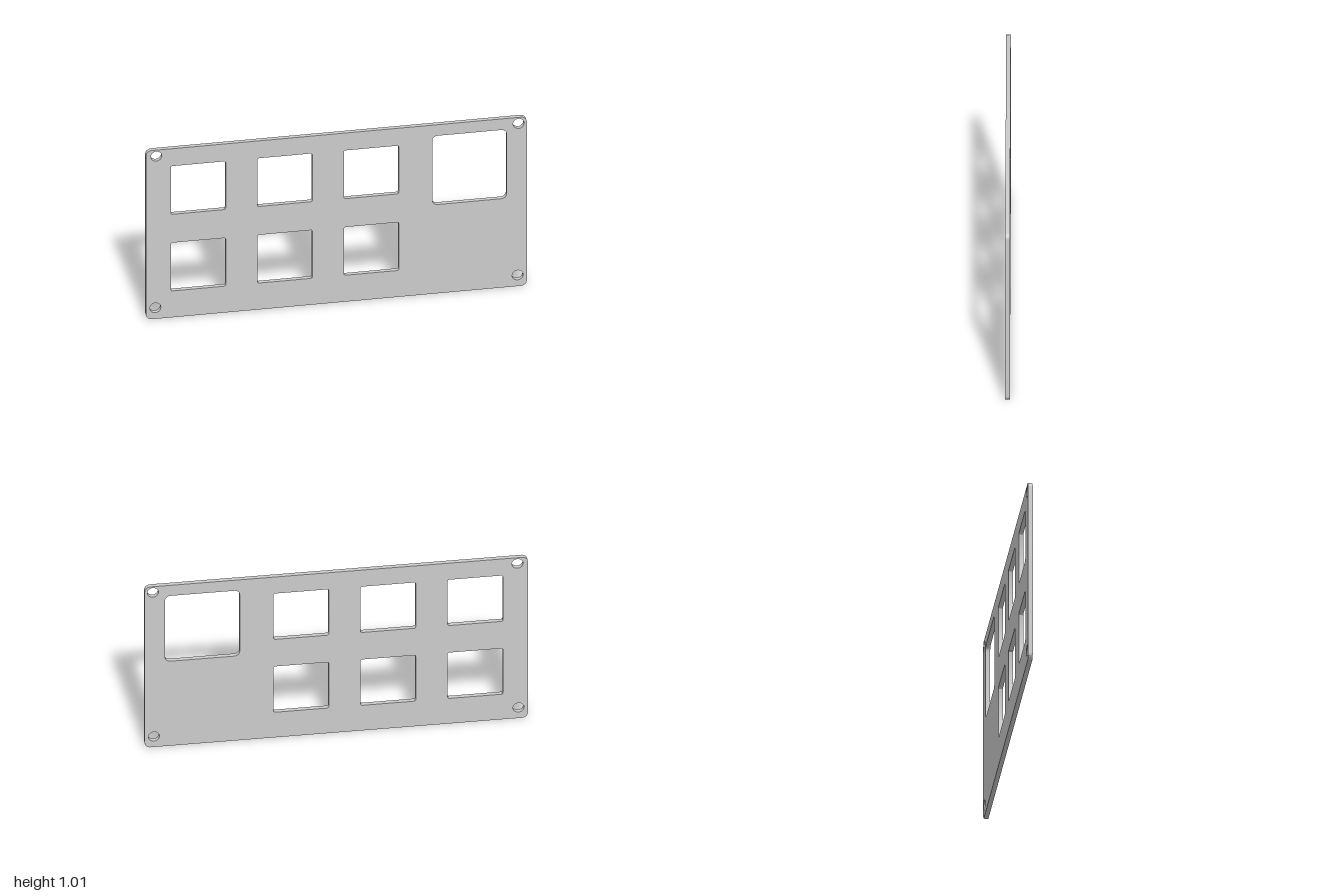
import * as THREE from 'three';
import { toCreasedNormals } from 'three/addons/utils/BufferGeometryUtils.js';

const THICKNESS = 0.024;

// Trace a rounded rectangle given its lower left corner, size and corner radius
function roundedRect(path, x, y, w, h, r) {
  path.moveTo(x + r, y);
  path.lineTo(x + w - r, y);
  path.absarc(x + w - r, y + r, r, -Math.PI / 2, 0, false);
  path.lineTo(x + w, y + h - r);
  path.absarc(x + w - r, y + h - r, r, 0, Math.PI / 2, false);
  path.lineTo(x + r, y + h);
  path.absarc(x + r, y + h - r, r, Math.PI / 2, Math.PI, false);
  path.lineTo(x, y + r);
  path.absarc(x + r, y + r, r, Math.PI, Math.PI * 1.5, false);
  return path;
}

export function createModel() {
  const group = new THREE.Group();
  group.name = 'panel';

  // Plate outline
  const plate = roundedRect(new THREE.Shape(), -1, 0, 2, 1.01, 0.03);

  // Two rows of three square cutouts
  for (const x of [-0.87, -0.415, 0.039]) {
    for (const y of [0.158, 0.617]) {
      plate.holes.push(roundedRect(new THREE.Path(), x, y, 0.289, 0.289, 0.01));
    }
  }

  // Large display window
  plate.holes.push(roundedRect(new THREE.Path(), 0.504, 0.532, 0.39, 0.412, 0.028));

  // Screw holes near the corners
  for (const [x, y] of [[-0.946, 0.973], [0.957, 0.973], [-0.951, 0.066], [0.952, 0.066]]) {
    plate.holes.push(new THREE.Path().absarc(x, y, 0.029, 0, Math.PI * 2, true));
  }

  const geometry = new THREE.ExtrudeGeometry(plate, {
    depth: THICKNESS, bevelEnabled: false, curveSegments: 12,
  });
  geometry.translate(0, 0, -THICKNESS / 2);

  const mesh = new THREE.Mesh(
    toCreasedNormals(geometry, Math.PI / 5),
    new THREE.MeshStandardMaterial({ color: 0xcccccc }),
  );
  mesh.name = 'facePlate';
  group.add(mesh);
  return group;
}
